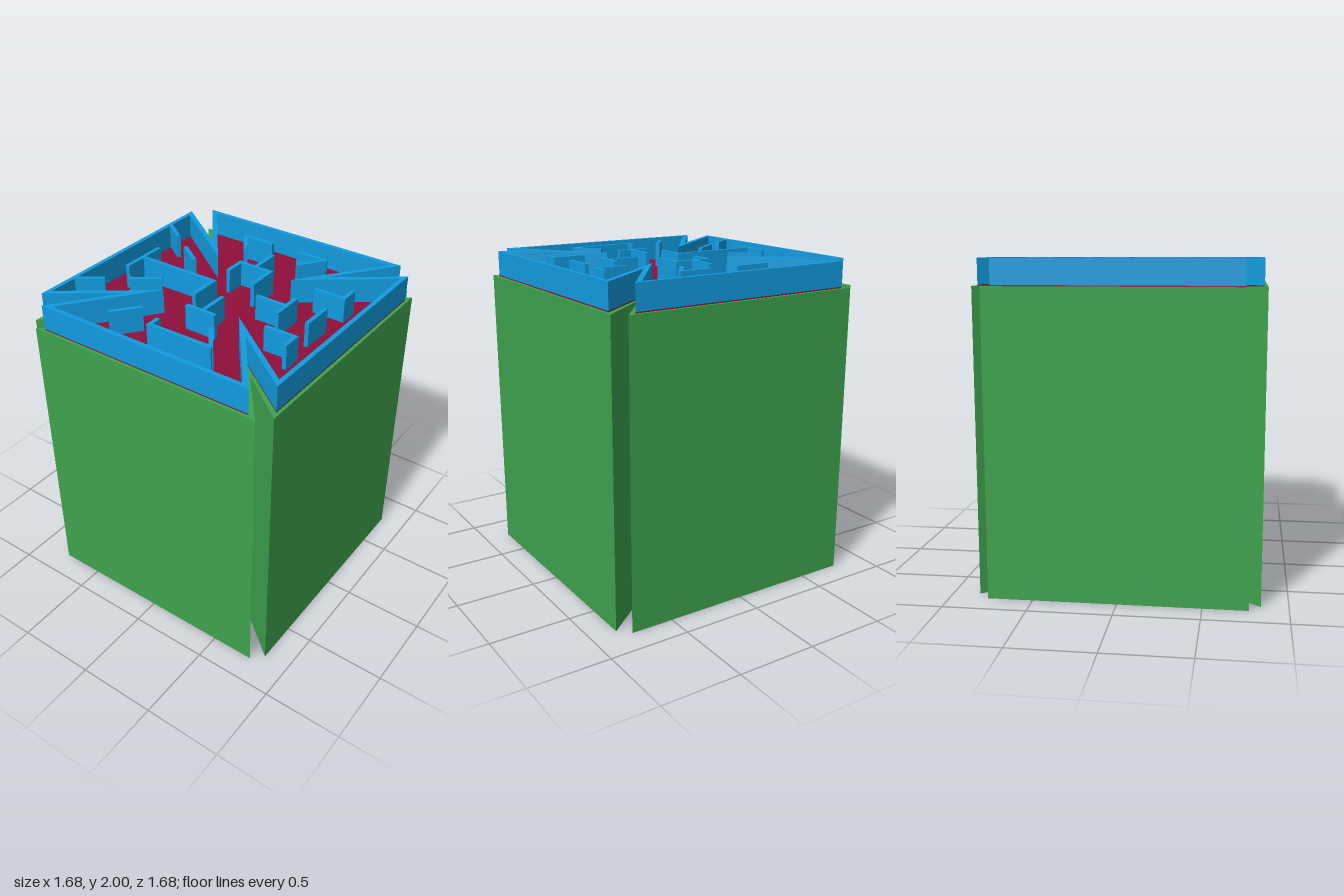
import * as THREE from 'three';

const GREEN = new THREE.MeshStandardMaterial({ color: 0x3ea34d });
const BLUE = new THREE.MeshStandardMaterial({ color: 0x129bdf });
const RED = new THREE.MeshStandardMaterial({ color: 0x8e0f3a });

const FLOOR_Y = 1.847;
const TOP_Y = 2;
const THICK = 0.026;

// Square with a V notch at every corner, as plan points
// side: distance to each face, end: half length of each face, tip: notch depth point
function notchedSquare(side, end, tip) {
  const points = [];
  for (let i = 0; i < 4; i++) {
    const c = [1, 0, -1, 0][i], s = [0, 1, 0, -1][i];
    for (const [x, y] of [[side, -end], [side, end], [tip, tip]]) {
      points.push(new THREE.Vector2(x * c - y * s, x * s + y * c));
    }
  }
  return points;
}

// Extrude a plan shape upwards between two heights
function slab(name, shape, y0, y1, material) {
  const geometry = new THREE.ExtrudeGeometry(shape, { depth: y1 - y0, bevelEnabled: false });
  geometry.rotateX(-Math.PI / 2);
  const mesh = new THREE.Mesh(geometry, material);
  mesh.position.y = y0;
  mesh.name = name;
  return mesh;
}

// Thin upright wall between two plan points
function wall(x0, z0, x1, z1) {
  const length = Math.hypot(x1 - x0, z1 - z0);
  const mesh = new THREE.Mesh(new THREE.BoxGeometry(length, TOP_Y - FLOOR_Y, THICK), BLUE);
  mesh.position.set((x0 + x1) / 2, (TOP_Y + FLOOR_Y) / 2, (z0 + z1) / 2);
  mesh.rotation.y = -Math.atan2(z1 - z0, x1 - x0);
  mesh.name = 'mazeWall';
  return mesh;
}

// Inner walls, each as x0, z0, x1, z1
const BACK_WALLS = [
  [-0.155, -0.645, 0.15, -0.645], [-0.005, -0.645, -0.005, -0.09], [-0.2, -0.1, 0.008, -0.1],
  [-0.46, -0.8, -0.355, -0.65], [0.465, -0.8, 0.357, -0.65],
  [-0.27, -0.53, -0.158, -0.37], [0.262, -0.52, 0.15, -0.363],
  [-0.645, -0.367, -0.49, -0.245],
];
const SIDE_WALLS = [
  [0.155, -0.11, 0.303, -0.11], [0.29, -0.123, 0.29, 0.123], [0.095, 0.11, 0.303, 0.11],
  [0.29, 0, 0.485, 0],
  [-0.327, -0.055, -0.327, 0.15], [-0.327, 0.057, -0.13, 0.057],
  [-0.63, -0.088, -0.54, -0.088], [-0.617, -0.1, -0.61, 0.335], [-0.615, 0.33, -0.45, 0.21],
  [0.45, -0.185, 0.62, -0.3], [0.615, -0.305, 0.615, -0.085],
  [0.46, 0.19, 0.62, 0.305], [0.615, 0.1, 0.615, 0.31],
];
const FRONT_WALLS = [
  [-0.005, 0.21, -0.005, 0.425], [-0.105, 0.413, 0.098, 0.413], [-0.105, 0.612, 0.098, 0.612],
  [-0.262, 0.44, -0.262, 0.65], [-0.37, 0.637, -0.25, 0.637],
  [0.262, 0.44, 0.262, 0.65], [0.25, 0.637, 0.37, 0.637],
];

export function createModel() {
  const model = new THREE.Group();
  model.name = 'mazeBlock';

  // Tall solid body
  model.add(slab('body', new THREE.Shape(notchedSquare(0.838, 0.77, 0.515)), 0, 1.84, GREEN));

  // Thin floor of the maze
  const outline = notchedSquare(0.818, 0.716, 0.425);
  model.add(slab('floor', new THREE.Shape(outline), 1.84, FLOOR_Y, RED));

  // Boundary wall following the notched outline
  const rim = new THREE.Shape(outline);
  rim.holes.push(new THREE.Path(notchedSquare(0.79, 0.658, 0.27)));
  model.add(slab('outerWall', rim, FLOOR_Y, TOP_Y, BLUE));

  // Maze walls
  const walls = new THREE.Group();
  walls.name = 'innerWalls';
  for (const w of [...BACK_WALLS, ...SIDE_WALLS, ...FRONT_WALLS]) walls.add(wall(...w));
  model.add(walls);

  return model;
}
